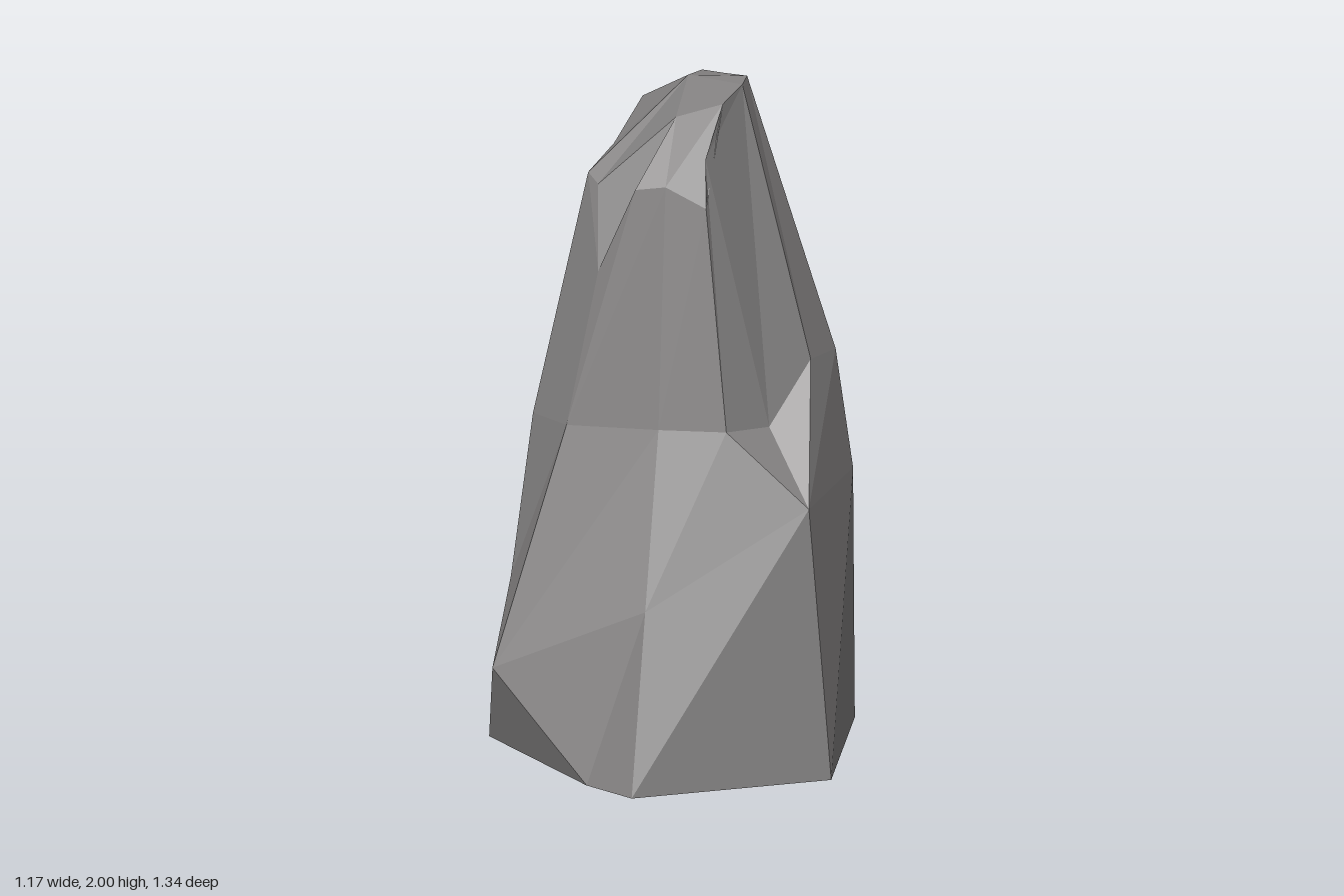
import * as THREE from 'three';

// Each ring runs from the front, round by +x, the back and -x. Repeated points
// close a facet to a triangle; null means "work it out from the rings beside it".
const base = [
  [0.04, 0, 0.67], [0.58, 0, 0.41], [0.58, 0, 0.41], [0.58, 0, 0.41],
  [0.58, 0, -0.13], [0.43, 0, -0.63], [0.04, 0, -0.67], [-0.44, 0, -0.53],
  [-0.59, 0, -0.13], [-0.5, 0, 0.27], [-0.5, 0, 0.27], [-0.11, 0, 0.6],
];
// Lower ring: the notch ledge on +x and the chipped corner on -x
const low = [
  null, [0.49, 0.79, 0.32], [0.49, 0.79, 0.32], [0.49, 0.79, 0.32],
  [0.56, 0.81, -0.13], [0.37, 0.81, -0.49], null, null,
  null, null, [-0.43, 0.29, 0.46], [-0.43, 0.29, 0.46],
];
// Shoulder where the slope steepens
const shoulder = [
  [0.04, 1, 0.3], [0.24, 1, 0.29], [0.35, 1, 0.19], [0.45, 1.18, 0.05],
  [0.5, 1.18, -0.13], [0.31, 1.18, -0.41], [0.04, 1, -0.55], [-0.26, 1, -0.44],
  [-0.35, 1, -0.13], [-0.38, 1, 0.15], [-0.24, 1, 0.29], [-0.24, 1, 0.29],
];
// Top of the walls
const brow = [
  [0.04, 1.7, 0.2], [0.16, 1.64, 0.2], [0.15, 1.78, 0.16], [0.22, 1.98, -0.05],
  [0.22, 2, -0.13], [0.13, 2, -0.23], [0.04, 2, -0.35], [-0.14, 1.92, -0.31],
  [-0.19, 1.79, -0.13], [-0.23, 1.72, 0.04], [-0.16, 1.45, 0.21], [-0.05, 1.69, 0.2],
];
// Edge of the sloping crown
const rim = [
  [0.04, 1.89, 0.05], [0.18, 1.93, 0.05], [0.18, 1.93, 0.05], null,
  null, null, null, null,
  null, null, [-0.19, 1.69, 0.08], [0.04, 1.89, 0.05],
];

const vec = (p) => new THREE.Vector3(...p);

function facets(triangles) {
  const area = new THREE.Triangle();
  const solid = triangles.filter((t) => area.set(...t).getArea() > 1e-6);
  const geometry = new THREE.BufferGeometry().setFromPoints(solid.flat());
  geometry.computeVertexNormals();
  return geometry;
}

// Wall facets between two rings
function band(lower, upper) {
  return lower.flatMap((a, i) => {
    const j = (i + 1) % lower.length;
    return [[a, lower[j], upper[j]], [a, upper[j], upper[i]]];
  });
}

// Fan that closes a ring
function fan(ring, centre, down) {
  return ring.map((a, i) => {
    const b = ring[(i + 1) % ring.length];
    return down ? [centre, b, a] : [centre, a, b];
  });
}

export function createModel() {
  const stone = new THREE.MeshStandardMaterial({ color: 0x807e7e, flatShading: true });
  stone.name = 'grey stone';

  const r0 = base.map(vec);
  const r2 = shoulder.map(vec);
  const r1 = low.map((p, i) => (p ? vec(p) : r0[i].clone().lerp(r2[i], 0.5)));
  const r3 = brow.map(vec);
  const r4 = rim.map((p, i) => (p ? vec(p) : r3[i].clone()));

  const parts = {
    rockUnderside: fan(r0, new THREE.Vector3(0, 0, 0), true),
    lowerRock: [...band(r0, r1), ...band(r1, r2)],
    upperRock: band(r2, r3),
    rockCrown: [...band(r3, r4), ...fan(r4, new THREE.Vector3(0.04, 2, -0.13), false)],
  };

  const group = new THREE.Group();
  group.name = 'rock';
  for (const [name, triangles] of Object.entries(parts)) {
    const mesh = new THREE.Mesh(facets(triangles), stone);
    mesh.name = name;
    group.add(mesh);
  }
  return group;
}
